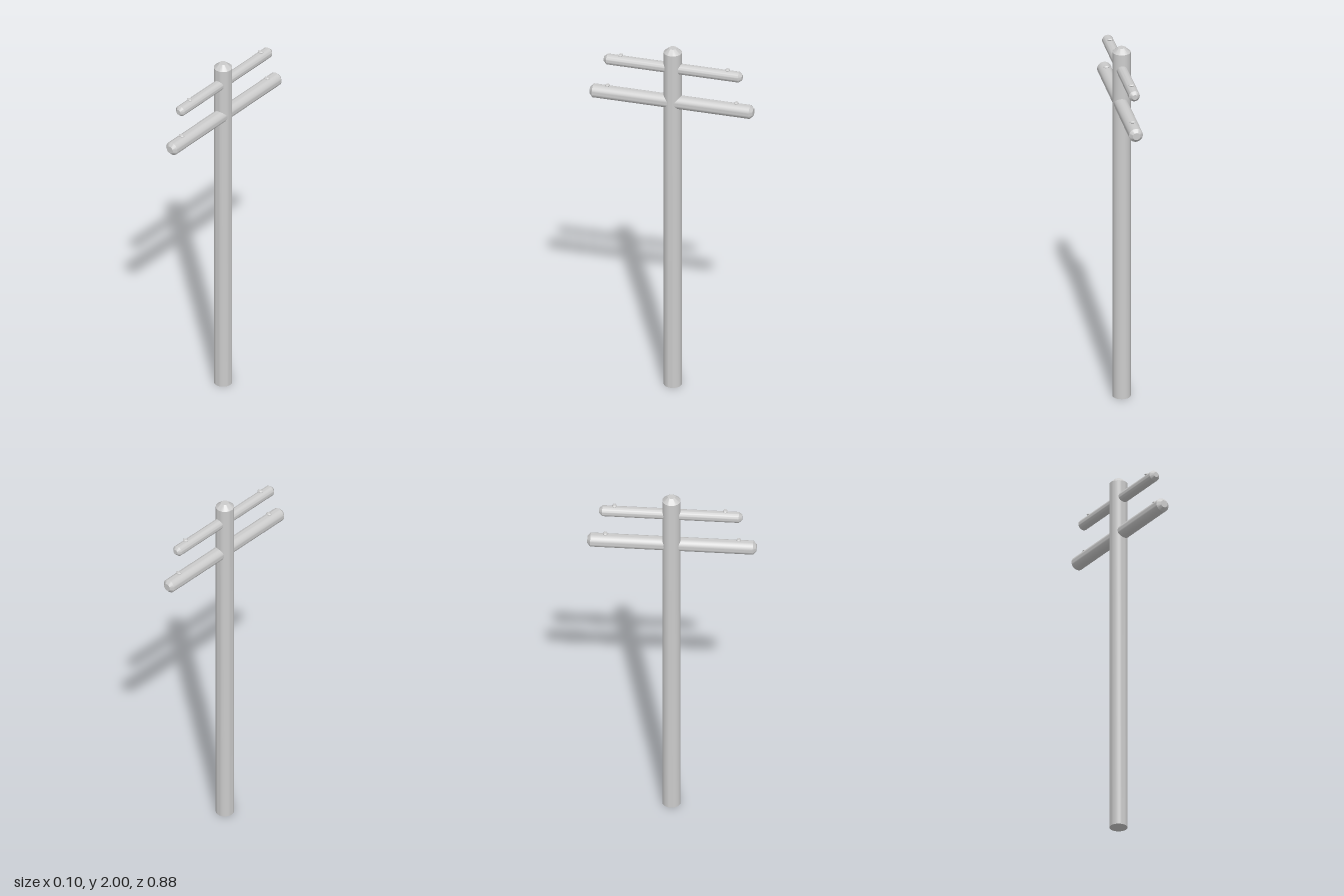
import * as THREE from 'three';
import { toCreasedNormals } from 'three/addons/utils/BufferGeometryUtils.js';

const material = new THREE.MeshStandardMaterial({ color: 0xcccccc });

// Turned solid from [radius, height] pairs, listed bottom to top
function turned(name, profile, segments = 32) {
  const points = profile.map(([r, y]) => new THREE.Vector2(r, y));
  const geometry = toCreasedNormals(new THREE.LatheGeometry(points, segments), Math.PI / 6);
  const mesh = new THREE.Mesh(geometry, material);
  mesh.name = name;
  return mesh;
}

// Round crossarm along z with chamfered ends and a small insulator near each end
function crossarm(name, { x, y, radius, endRadius, back, front, pegs }) {
  const group = new THREE.Group();
  group.name = name;
  const chamfer = 0.017;
  const beam = turned(name + 'Beam', [
    [0, back], [endRadius, back], [radius, back + chamfer],
    [radius, front - chamfer], [endRadius, front], [0, front],
  ]);
  beam.rotation.x = Math.PI / 2;
  group.add(beam);

  for (const z of pegs) {
    const peg = turned(name + 'Insulator', [
      [0, -0.008], [0.009, -0.008], [0.009, 0], [0.016, 0.004],
      [0.016, 0.007], [0.009, 0.012], [0, 0.012],
    ], 16);
    peg.scale.z = 0.72;
    peg.position.set(0.002, radius, z);
    group.add(peg);
  }
  group.position.set(x, y, 0);
  return group;
}

export function createModel() {
  const model = new THREE.Group();
  model.name = 'utilityPole';

  // Upright with a chamfered top
  const pole = turned('pole', [
    [0, 0], [0.048, 0], [0.048, 1.975], [0.02, 2], [0, 2],
  ]);
  pole.position.set(-0.001, 0, -0.003);
  model.add(pole);

  // Short upper and long lower crossarms
  model.add(crossarm('upperCrossarm', {
    x: 0.003, y: 1.883, radius: 0.029, endRadius: 0.014,
    back: -0.381, front: 0.367, pegs: [-0.302, 0.278],
  }));
  model.add(crossarm('lowerCrossarm', {
    x: 0.007, y: 1.687, radius: 0.037, endRadius: 0.02,
    back: -0.443, front: 0.441, pegs: [-0.35, 0.348],
  }));
  return model;
}
